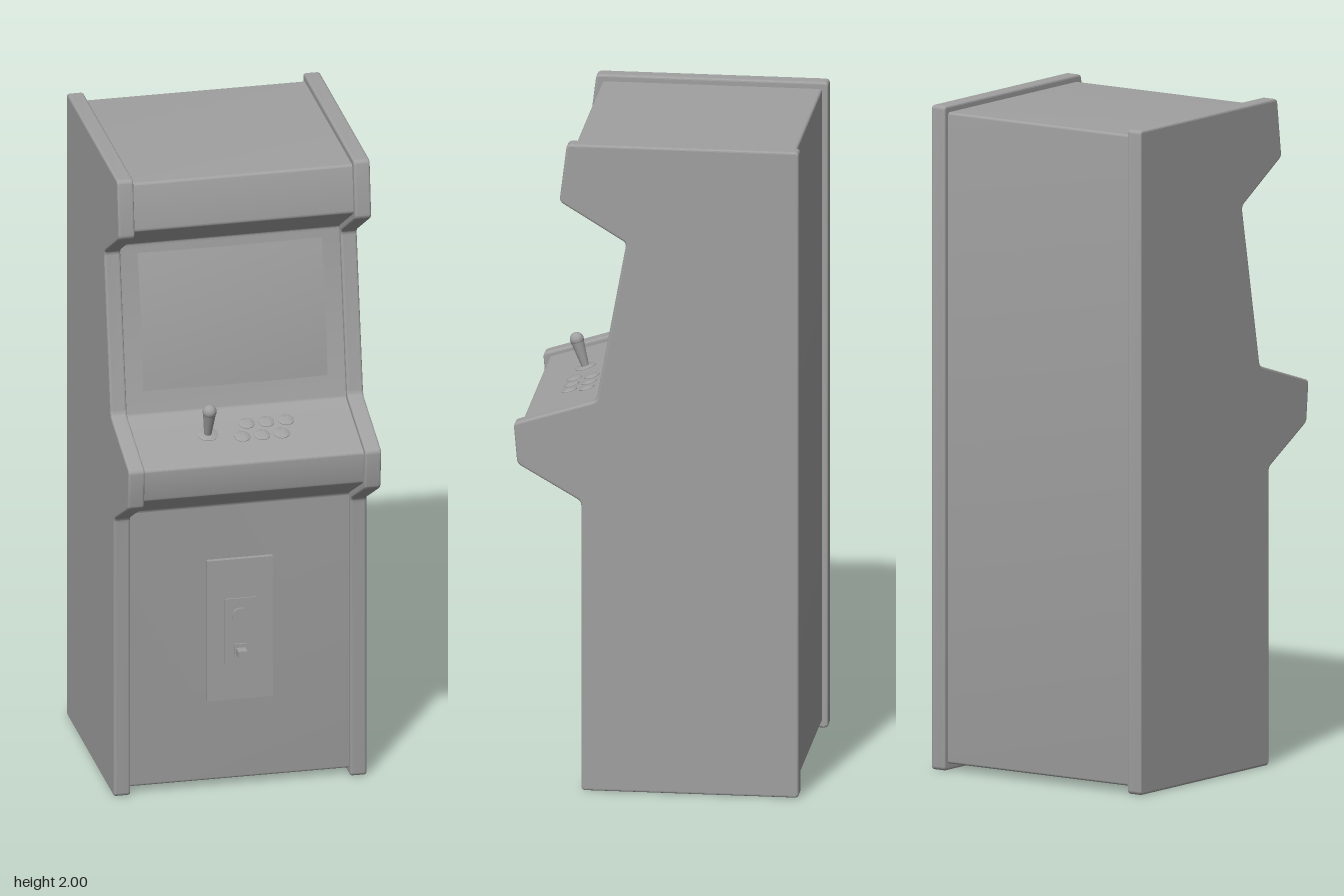
import * as THREE from 'three';
import { toCreasedNormals } from 'three/addons/utils/BufferGeometryUtils.js';

const material = new THREE.MeshStandardMaterial({ color: 0xa0a0a0 });
const doubleSided = new THREE.MeshStandardMaterial({ color: 0xa0a0a0, side: THREE.DoubleSide });

function add(parent, name, geometry, x = 0, y = 0, z = 0, mat = material) {
  const mesh = new THREE.Mesh(geometry, mat);
  mesh.name = name;
  mesh.position.set(x, y, z);
  parent.add(mesh);
  return mesh;
}

// Closed outline with each corner softened by a small curve
function roundedOutline(points, r) {
  const pts = points.map(([z, y]) => new THREE.Vector2(z, y));
  const shape = new THREE.Shape();
  pts.forEach((p, i) => {
    const prev = pts[(i + pts.length - 1) % pts.length];
    const next = pts[(i + 1) % pts.length];
    const a = p.clone().add(prev.clone().sub(p).setLength(r));
    const b = p.clone().add(next.clone().sub(p).setLength(r));
    if (i === 0) shape.moveTo(a.x, a.y);
    else shape.lineTo(a.x, a.y);
    shape.quadraticCurveTo(p.x, p.y, b.x, b.y);
  });
  shape.closePath();
  return shape;
}

// Extrudes a (z, y) outline sideways, centred on x = 0
function sidewaysSlab(points, width, corner, bevel) {
  const geometry = new THREE.ExtrudeGeometry(roundedOutline(points, corner), {
    depth: width - 2 * bevel,
    curveSegments: 10,
    bevelEnabled: bevel > 0,
    bevelSize: bevel,
    bevelThickness: bevel,
    bevelOffset: -bevel,
    bevelSegments: 3,
  });
  geometry.translate(0, 0, -(width - 2 * bevel) / 2);
  geometry.rotateY(-Math.PI / 2);
  return toCreasedNormals(geometry, 0.24);
}

function lathe(profile) {
  const pts = profile.map(([r, y]) => new THREE.Vector2(r, y));
  return toCreasedNormals(new THREE.LatheGeometry(pts, 28), 0.5);
}

export function createModel() {
  const model = new THREE.Group();
  model.name = 'arcadeCabinet';

  // Side panels
  const sideProfile = [
    [-0.425, 0], [0.225, 0], [0.225, 0.895], [0.416, 1.005], [0.427, 1.13],
    [0.18, 1.208], [0.09, 1.7], [0.29, 1.822], [0.268, 2], [-0.425, 2],
  ];
  const panel = sidewaysSlab(sideProfile, 0.05, 0.014, 0.007);
  add(model, 'leftSidePanel', panel, 0.359);
  add(model, 'rightSidePanel', panel, -0.359);

  // Cabinet body, set in from the side panels all round
  const bodyProfile = [
    [-0.407, 0.02], [0.205, 0.02], [0.205, 0.907], [0.398, 1.018], [0.409, 1.12],
    [0.165, 1.195], [0.07, 1.711], [0.271, 1.833], [0.25, 1.98], [-0.407, 1.98],
  ];
  add(model, 'cabinetBody', sidewaysSlab(bodyProfile, 0.68, 0.01, 0));

  // Bulging screen on the sloped bezel
  const screen = new THREE.PlaneGeometry(0.56, 0.42, 20, 16);
  const pos = screen.attributes.position;
  for (let i = 0; i < pos.count; i++) {
    const u = pos.getX(i) / 0.28;
    const v = pos.getY(i) / 0.21;
    pos.setZ(i, 0.003 + 0.02 * (1 - u * u * 0.5 - v * v * 0.5));
  }
  screen.computeVertexNormals();
  add(model, 'screen', screen, 0, 1.475, 0.113, doubleSided).rotation.x = -0.182;

  // Controls, standing square to the sloped control panel
  const controls = new THREE.Group();
  controls.name = 'controls';
  controls.position.set(0, 1.162, 0.272);
  controls.rotation.x = 0.3;
  model.add(controls);

  const joystick = new THREE.Group();
  joystick.name = 'joystick';
  joystick.position.x = -0.11;
  controls.add(joystick);
  add(joystick, 'joystickBase', lathe([[0.031, -0.004], [0.031, 0.002], [0.027, 0.004], [0, 0.005]]));
  add(joystick, 'joystickShaft', new THREE.CylinderGeometry(0.02, 0.011, 0.085, 24, 1, true), 0, 0.045, 0);
  add(joystick, 'joystickKnob', new THREE.SphereGeometry(0.021, 24, 16), 0, 0.089, 0);

  // Two staggered rows of three buttons
  const button = lathe([[0.024, -0.004], [0.024, 0.002], [0.021, 0.004], [0.012, 0.006], [0, 0.0065]]);
  for (const [startX, z] of [[-0.01, 0.023], [0.015, -0.035]]) {
    for (let i = 0; i < 3; i++) add(controls, 'button', button, startX + i * 0.06, 0, z);
  }

  // Coin door
  const door = new THREE.Group();
  door.name = 'coinDoor';
  door.position.z = 0.205;
  model.add(door);
  add(door, 'doorPanel', new THREE.BoxGeometry(0.2, 0.45, 0.028), 0, 0.505, 0);
  add(door, 'coinPlate', new THREE.BoxGeometry(0.096, 0.21, 0.01), 0, 0.5, 0.013);
  const lock = new THREE.CylinderGeometry(0.025, 0.025, 0.012, 28);
  lock.rotateX(Math.PI / 2);
  add(door, 'lock', lock, 0, 0.55, 0.018);
  add(door, 'coinReturnFrame', new THREE.BoxGeometry(0.034, 0.036, 0.008), 0, 0.442, 0.019);
  add(door, 'coinReturnLever', new THREE.BoxGeometry(0.028, 0.02, 0.036), 0, 0.438, 0.036);

  return model;
}
